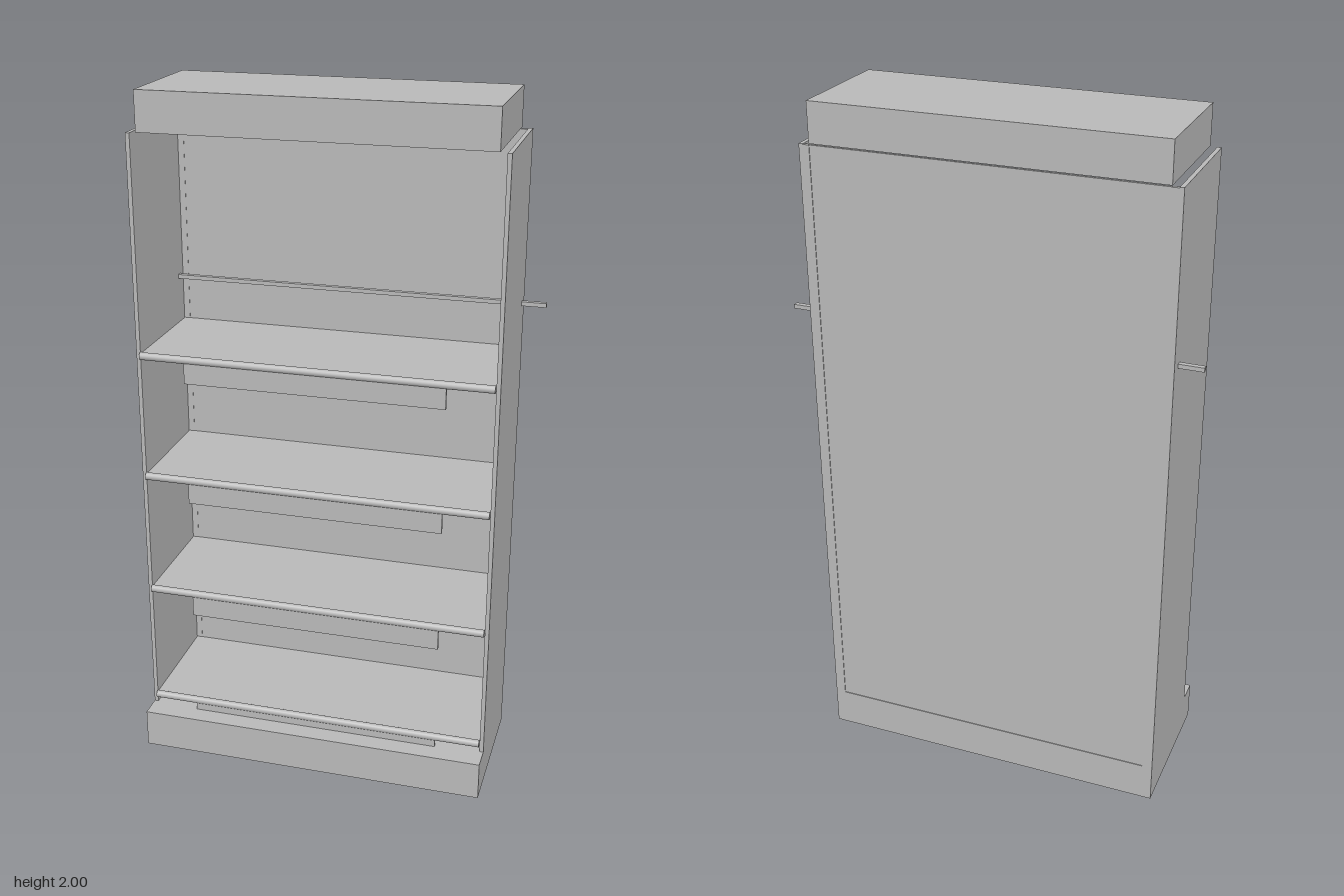
import * as THREE from 'three';

const grey = new THREE.MeshStandardMaterial({ color: 0xb8b8b8 });
grey.name = 'shelfGrey';

// Box given by its lower and upper limits on each axis
function slab(parent, name, [x0, x1], [y0, y1], [z0, z1]) {
  const mesh = new THREE.Mesh(new THREE.BoxGeometry(x1 - x0, y1 - y0, z1 - z0), grey);
  mesh.position.set((x0 + x1) / 2, (y0 + y1) / 2, (z0 + z1) / 2);
  mesh.name = name;
  parent.add(mesh);
  return mesh;
}

// One shelf board with a rounded front lip and a label rail beneath it
function makeShelf(topY) {
  const shelf = new THREE.Group();
  shelf.name = 'shelf';
  slab(shelf, 'shelfBoard', [-0.507, 0.507], [-0.018, -0.005], [-0.205, 0.15]);
  const lip = new THREE.Mesh(new THREE.CylinderGeometry(0.011, 0.011, 1.014, 16), grey);
  lip.name = 'shelfLip';
  lip.rotation.z = Math.PI / 2;
  lip.position.set(0, -0.011, 0.151);
  shelf.add(lip);
  slab(shelf, 'labelRail', [-0.375, 0.375], [-0.08, -0.018], [0.149, 0.158]);
  shelf.position.y = topY;
  return shelf;
}

export function createModel() {
  const model = new THREE.Group();
  model.name = 'displayShelf';

  // Plinth and header
  slab(model, 'base', [-0.52, 0.52], [0, 0.115], [-0.215, 0.215]);
  slab(model, 'header', [-0.49, 0.49], [1.887, 2], [-0.215, 0.147]);

  // Back panel, rear uprights and side panels
  slab(model, 'backPanel', [-0.49, 0.49], [0.115, 1.883], [-0.213, -0.205]);
  for (const s of [-1, 1]) {
    const span = (a, b) => [Math.min(s * a, s * b), Math.max(s * a, s * b)];
    slab(model, 'rearUpright', span(0.49, 0.508), [0.115, 1.883], [-0.215, -0.204]);
    slab(model, 'sidePanel', span(0.508, 0.52), [0.115, 1.885], [-0.215, 0.147]);
  }

  // Four evenly spaced shelves
  for (let i = 0; i < 4; i++) model.add(makeShelf(0.156 + i * 0.371));

  // Thin cross bar running through both sides
  slab(model, 'crossBar', [-0.59, 0.59], [1.397, 1.409], [-0.18, -0.165]);

  return model;
}
